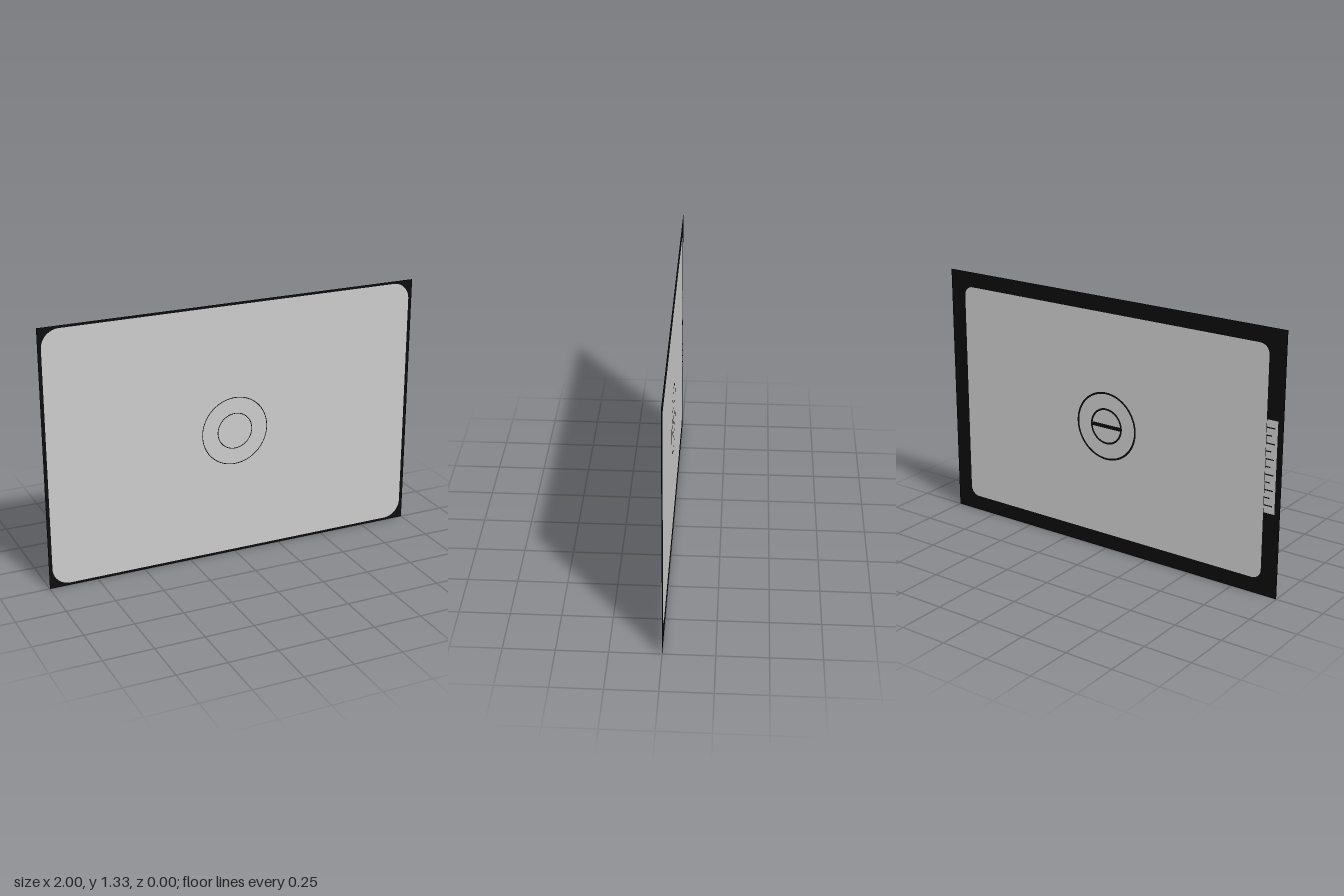
import * as THREE from 'three';

const W = 2, H = 1.334;
const STEP = 0.0003; // spacing between the paper-thin layers
const grey = new THREE.MeshStandardMaterial({ color: 0xcccccc });
const black = new THREE.MeshStandardMaterial({ color: 0x0c0c0c });

function rectShape(w, h, r = 0) {
  const s = new THREE.Shape(), x = w / 2, y = h / 2;
  if (!r) {
    return s.moveTo(-x, -y).lineTo(x, -y).lineTo(x, y).lineTo(-x, y).closePath();
  }
  s.absarc(x - r, -y + r, r, -Math.PI / 2, 0);
  s.absarc(x - r, y - r, r, 0, Math.PI / 2);
  s.absarc(-x + r, y - r, r, Math.PI / 2, Math.PI);
  s.absarc(-x + r, -y + r, r, Math.PI, Math.PI * 1.5);
  s.closePath();
  return s;
}

// One flat layer, facing the local +z direction
function addLayer(group, name, geometry, material, level, x = 0, y = 0) {
  const mesh = new THREE.Mesh(geometry, material);
  mesh.name = name;
  mesh.position.set(x, y, level * STEP);
  group.add(mesh);
}

// Black sheet, rounded grey panel and two concentric line rings
function buildFace(name, panelW, panelH, radius, line) {
  const face = new THREE.Group();
  face.name = name;
  face.position.y = H / 2;
  addLayer(face, 'borderSheet', new THREE.PlaneGeometry(W, H), black, 1);
  addLayer(face, 'panel', new THREE.ShapeGeometry(rectShape(panelW, panelH, radius), 16), grey, 2);
  for (const [ringName, r] of [['outerRing', 0.179], ['innerRing', 0.095]]) {
    addLayer(face, ringName, new THREE.RingGeometry(r - line, r, 96), black, 3);
  }
  return face;
}

export function createModel() {
  const model = new THREE.Group();
  model.name = 'flatPanel';

  model.add(buildFace('frontFace', 1.964, 1.308, 0.09, 0.004));

  // The back has a wider border, a slot bar and a ruler strip
  const back = buildFace('backFace', 1.82, 1.175, 0.05, 0.01);
  back.rotation.y = Math.PI;
  addLayer(back, 'slotBar', new THREE.PlaneGeometry(0.185, 0.02), black, 3);

  const rulerX = 0.912, rulerW = 0.058, rulerH = 0.465, ticks = 11;
  addLayer(back, 'rulerStrip', new THREE.PlaneGeometry(rulerW, rulerH), grey, 2, rulerX + rulerW / 2, -0.004);
  for (let i = 0; i < ticks; i++) {
    const len = i % 2 ? 0.028 : 0.045;
    const y = -0.004 + rulerH * ((i + 1) / (ticks + 1) - 0.5);
    addLayer(back, 'rulerTick', new THREE.PlaneGeometry(len, 0.006), black, 3, rulerX + len / 2, y);
  }
  model.add(back);
  return model;
}
